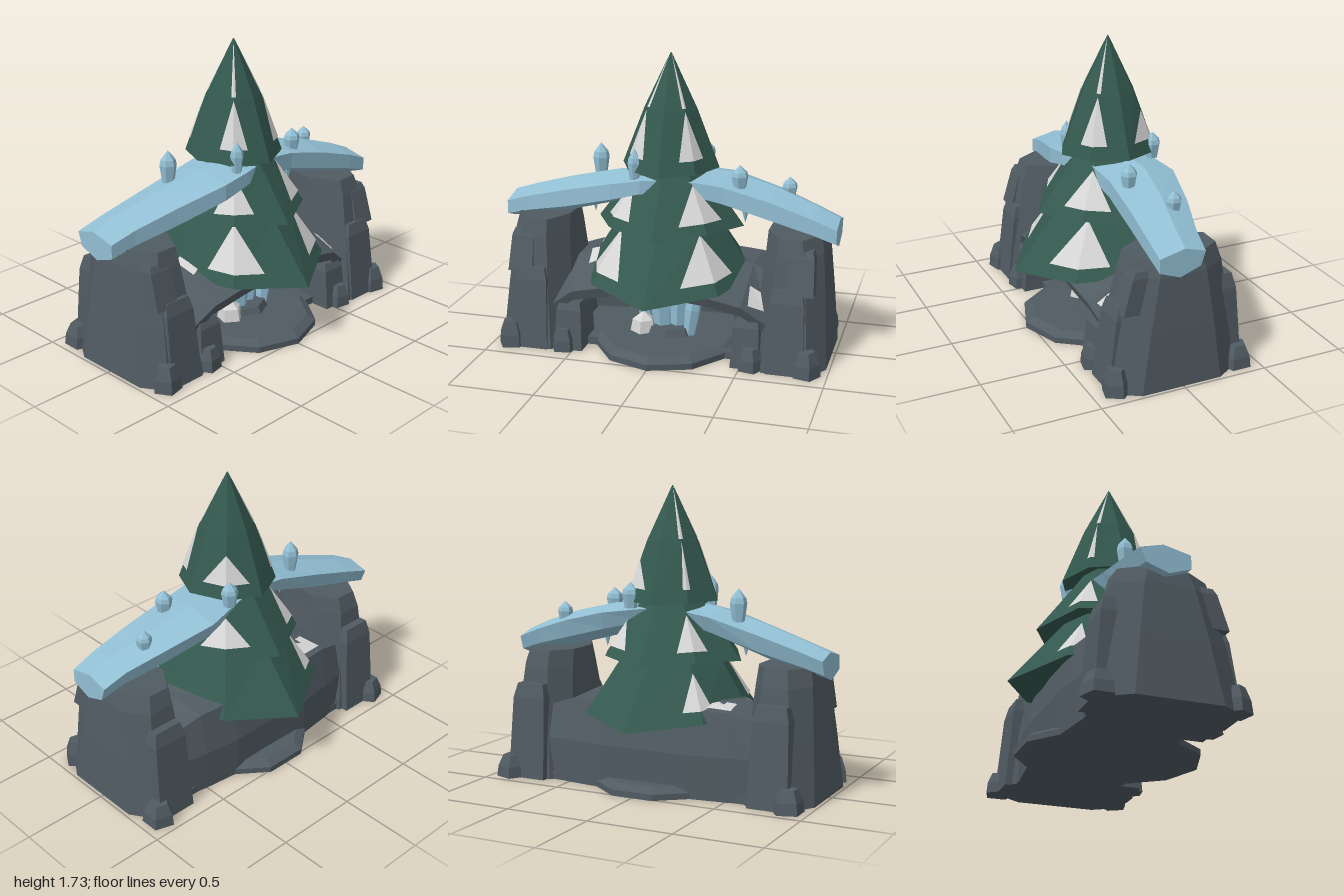
import * as THREE from 'three';

const flat = (name, color) => {
  const m = new THREE.MeshStandardMaterial({ color, flatShading: true, side: THREE.DoubleSide });
  m.name = name;
  return m;
};

// Closed solid through a list of rings of [x, y, z] points, turned outward by its signed volume
function loft(rings) {
  const n = rings[0].length, tris = [];
  const mid = r => [0, 1, 2].map(k => r.reduce((s, p) => s + p[k], 0) / n);
  for (let i = 0; i < rings.length - 1; i++) {
    for (let j = 0; j < n; j++) {
      const a = rings[i][j], b = rings[i][(j + 1) % n];
      const c = rings[i + 1][(j + 1) % n], d = rings[i + 1][j];
      tris.push([a, b, c], [a, c, d]);
    }
  }
  const first = rings[0], last = rings[rings.length - 1], c0 = mid(first), c1 = mid(last);
  for (let j = 0; j < n; j++) {
    tris.push([c0, first[(j + 1) % n], first[j]], [c1, last[j], last[(j + 1) % n]]);
  }
  const vol = tris.reduce((s, [a, b, c]) => s
    + a[0] * (b[1] * c[2] - b[2] * c[1])
    + a[1] * (b[2] * c[0] - b[0] * c[2])
    + a[2] * (b[0] * c[1] - b[1] * c[0]), 0);
  return triangles(vol < 0 ? tris.map(([a, b, c]) => [a, c, b]) : tris);
}

function triangles(tris) {
  const g = new THREE.BufferGeometry();
  g.setAttribute('position', new THREE.Float32BufferAttribute(tris.flat(2), 3));
  g.computeVertexNormals();
  return g;
}

const mix = (a, b, t) => a.map((v, k) => v + (b[k] - v) * t);

// Snow triangle folded over ridge i between two tier rings
function ridgeSnow(upper, lower, i, t0, t1, width) {
  const out = p => [p[0] * 1.02, p[1] + 0.003, p[2] * 1.02];
  const on = (j, t) => mix(upper[j], lower[j], t);
  const tip = out(on(i, t0)), low = out(on(i, t1));
  const [a, b] = [i - 1, (i + 1) % 8].map(j => out(mix(on(i, t1), on(j, t1), width)));
  return [[tip, low, a], [tip, b, low]];
}

export function createModel() {
  const group = new THREE.Group();
  const rock = flat('rock', 0x505b62), green = flat('pine green', 0x34594f);
  const ice = flat('ice', 0x92bfd4), snow = flat('snow', 0xd6d6d6);
  const add = (name, geo, mat, x = 0, y = 0, z = 0) => {
    const m = new THREE.Mesh(geo, mat);
    m.name = name;
    m.position.set(x, y, z);
    group.add(m);
    return m;
  };
  const lathe = (pts, sides) => new THREE.LatheGeometry(pts.map(p => new THREE.Vector2(...p)), sides);

  // Tree: three eight-sided tiers; r holds rim radii along x, diagonal and z,
  // lift raises the rim there, snow gives [width, start] of the patch on each diagonal ridge
  [
    { top: 1.0, mid: 0.73, rim: 0.385, rTop: 0.1, rMid: 0.32, r: [0.5, 0.53, 0.6], lift: [0.06, 0.04, 0], snow: [[0.5, 0], [0.45, 0], [0.25, 0.15]] },
    { top: 1.3, mid: 1.0, rim: 0.725, rTop: 0.03, rMid: 0.24, r: [0.44, 0.41, 0.44], lift: [0.01, 0.03, 0], snow: [[0.5, 0], [0.4, 0], [0.32, 0], [0.5, 0.2]] },
    { top: 1.73, mid: 1.41, rim: 1.06, rTop: 0.003, rMid: 0.158, r: [0.29, 0.28, 0.29], lift: [0.015, 0.01, 0], snow: [[0.42, 0], [0.42, 0], [0.12, 0], [0.7, 0.3]], streak: true },
  ].forEach(t => {
    const ring = (radius, height) => Array.from({ length: 8 }, (_, i) => {
      const a = i * Math.PI / 4, kind = i % 2 ? 1 : i % 4 ? 2 : 0;
      return [radius(kind) * Math.cos(a), height(kind), radius(kind) * Math.sin(a)];
    });
    const top = ring(() => t.rTop, () => t.top), middle = ring(() => t.rMid, () => t.mid);
    const rim = ring(k => t.r[k], k => t.rim + t.lift[k]);
    add('treeTier', loft([top, middle, rim, ring(k => t.r[k] * 0.6, () => t.rim + 0.06)]), green);
    const patches = t.snow.flatMap(([w, start], k) => ridgeSnow(middle, rim, 2 * k + 1, start, 0.78, w));
    if (t.streak) [1, 3, 5].forEach(i => patches.push(...ridgeSnow(top, middle, i, 0.02, 0.95, 0.12)));
    add('tierSnow', triangles(patches), snow);
  });

  // Cave: a roof, front lip and near-upright back wall swept along x
  const cuts = [[0.665, 0.43, 0.24, 0.31, -0.33, 0.44], [0.5, 0.51, 0.365, 0.36, -0.36, 0.49],
    [0.28, 0.57, 0.42, 0.39, -0.385, 0.5], [0, 0.59, 0.45, 0.4, -0.38, 0.51]];
  const section = ([x, top, lipY, lipZ, backZ, backY]) => [
    [x, 0, backZ], [x, 0.25, backZ - 0.005], [x, backY, backZ + 0.045], [x, top, 0],
    [x, lipY, lipZ], [x, lipY - 0.06, lipZ - 0.02], [x, top - 0.12, 0],
    [x, backY - 0.12, backZ + 0.13], [x, 0, backZ + 0.1]];
  const sections = [...cuts.map(([x, ...r]) => [-x, ...r]), ...cuts.slice(0, 3).reverse()].map(section);
  add('cave', loft(sections), rock);

  // Snow lying on the cave roof: section gap, span along it, roof strip, span across it
  [[1, 0, 1, 2, 0.1, 0.55], [1, 0.05, 0.65, 3, 0.02, 0.4], [5, 0.1, 0.75, 3, 0.5, 0.9]]
    .forEach(([i, u0, u1, k, v0, v1]) => {
      const at = (u, v) => {
        const p = mix(mix(sections[i][k], sections[i][k + 1], v),
          mix(sections[i + 1][k], sections[i + 1][k + 1], v), u);
        return [p[0], p[1] + 0.009, p[2]];
      };
      const a = at(u0, v0), b = at(u0 + 0.1, v1), c = at(u1, v1 - 0.1), d = at(u1 - 0.15, v0);
      add('roofSnow', triangles([[a, b, c], [a, c, d]]), snow);
    });

  // Floor: ground plate between the pillars, round slab and the step under the crystals
  add('groundPlate', new THREE.BoxGeometry(1.3, 0.045, 0.6), rock, 0, 0.0225, -0.05);
  const floor = add('floor', lathe([[0, 0], [1, 0], [1, 0.035], [0.9, 0.065], [0, 0.07]], 11), rock);
  floor.scale.set(0.45, 1, 0.535);
  add('crystalStep', new THREE.CylinderGeometry(0.13, 0.16, 0.06, 7), rock, 0.02, 0.08, 0.06);

  // Pillars with buttresses, inner blocks and loose stones
  const pillarRing = (y, x0, x1, zb, zf, s) => {
    const c = 0.09;
    return [[x0, zf - 0.16], [x0 + c, zf], [x1 - c, zf], [x1, zf - 0.14],
      [x1, zb + 0.14], [x1 - c, zb], [x0 + c, zb], [x0, zb + 0.14]].map(([x, z]) => [s * x, y, z]);
  };
  const block = (s, x, z, w, d, y0, h, lean) => loft([[0, 1], [h * 0.85, 0.88], [h, 0.72]].map(([y, k]) =>
    [[-1, -1], [1, -1], [1, 1], [-1, 1]].map(([a, b]) =>
      [s * (x + a * w * k / 2), y0 + y, z - lean * y + b * d * k / 2])));
  const stone = (x, z, r, h, turn) => {
    const m = add('stone', lathe([[0, 0], [r, 0], [r * 0.92, h * 0.5], [r * 0.6, h], [0, h * 1.02]], 5), rock, x, 0, z);
    m.rotation.y = turn;
  };
  for (const s of [-1, 1]) {
    add('pillar', loft([
      pillarRing(0, 0.54, 0.98, -0.37, 0.39, s), pillarRing(0.35, 0.57, 0.955, -0.33, 0.33, s),
      pillarRing(0.65, 0.595, 0.93, -0.29, 0.27, s), pillarRing(0.75, 0.6, 0.91, -0.26, 0.24, s),
    ]), rock);
    add('upperBlock', block(s, 0.83, 0.265, 0.15, 0.13, 0.45, 0.24, 0.25), rock);
    add('frontButtress', block(s, 0.76, 0.31, 0.22, 0.18, 0, 0.48, 0.1), rock);
    add('backButtress', block(s, 0.77, -0.31, 0.24, 0.2, 0, 0.56, -0.06), rock);
    add('innerBlock', block(s, 0.53, 0.25, 0.17, 0.24, 0, 0.28, 0.05), rock);
    stone(s * 0.88, 0.36, 0.085, 0.15, s * 0.4);
    stone(s * 0.56, 0.35, 0.08, 0.13, s * 1.7);
    stone(s * 0.88, -0.38, 0.095, 0.13, s * 2.2);
  }

  // Ice bridge: x, back z, front z, top y, bottom y
  add('iceBridge', loft([
    [-1, -0.2, 0.08, 0.835, 0.675], [-0.85, -0.19, 0.1, 0.885, 0.71], [-0.6, -0.17, 0.16, 0.96, 0.76],
    [-0.3, -0.15, 0.24, 1.035, 0.85], [-0.12, -0.16, 0.24, 1.06, 0.905], [0.1, -0.2, 0.17, 1.06, 0.91],
    [0.34, -0.25, 0.15, 1.04, 0.845], [0.62, -0.19, 0.16, 0.975, 0.77],
    [0.86, -0.12, 0.17, 0.895, 0.715], [1, -0.1, 0.17, 0.835, 0.675],
  ].map(([x, b, f, t, u]) => {
    const w = f - b, upper = u + (t - u) * 0.78, lower = u + (t - u) * 0.28;
    return [[b, upper], [b + 0.45 * w, t], [f, upper],
      [f, lower], [b + 0.55 * w, u], [b + 0.1 * w, lower]].map(([z, y]) => [x, y, z]);
  })), ice);

  // Crystals: x, bottom y, z, radius, height, lean
  const crystal = (name, [x, y, z, r, h, lean = 0]) => {
    const m = add(name, lathe([[0, 0], [r * 0.7, 0], [r, h * 0.55], [r * 0.85, h * 0.72], [0, h]], 6), ice, x, y, z);
    m.rotation.z = lean;
  };
  [[-0.45, 0.97, -0.07, 0.05, 0.19], [-0.165, 1.02, 0.19, 0.04, 0.18], [0.425, 0.97, 0.07, 0.05, 0.145],
    [0.69, 0.9, -0.07, 0.046, 0.13], [0.17, 1.03, -0.2, 0.05, 0.15]].forEach(c => crystal('bridgeCrystal', c));
  [[-0.46, 0.02], [0.45, 0.02]].forEach(([x, z]) => {
    const m = add('icicle', new THREE.ConeGeometry(0.035, 0.12, 6), ice, x, 0.82, z);
    m.rotation.x = Math.PI;
  });
  [[-0.03, 0.08, 0.07, 0.075, 0.4, 0.05], [0.06, 0.08, 0.05, 0.07, 0.37, -0.06],
    [-0.13, 0.06, 0.05, 0.045, 0.32, 0.14], [0.14, 0.06, 0.1, 0.05, 0.31, -0.13],
    [0.02, 0.08, -0.04, 0.06, 0.35]].forEach(c => crystal('caveCrystal', c));

  // Snow heap beside the cave crystals
  add('snowHeap', lathe([[0, 0], [0.08, 0], [0.065, 0.08], [0, 0.13]], 5), snow, -0.14, 0.06, 0.11);

  return group;
}
